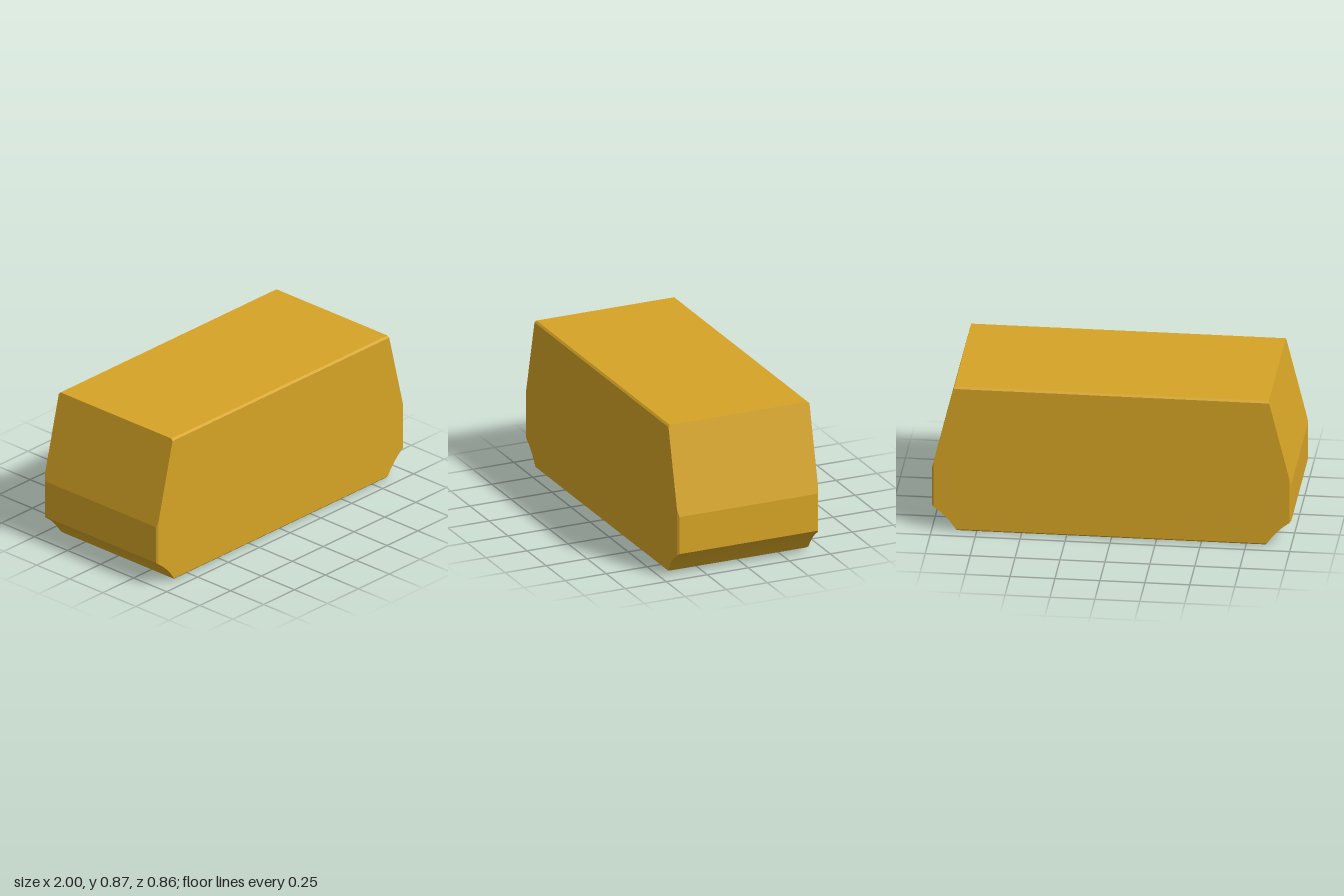
import * as THREE from 'three';

const HOLE_X = 0.46, HOLE_R = 0.1, HOLE_DEPTH = 0.5;

// Right half of a profile from bottom to top, mirrored into a closed counter-clockwise loop
function profile(bottom, bend, sideLow, sideHigh, top) {
  const v = (p) => new THREE.Vector2(...p);
  const curve = new THREE.QuadraticBezierCurve(v(bottom), v(bend), v(sideLow));
  const half = [...curve.getPoints(4), v(sideHigh), v(top)];
  const mirrored = half.map((p) => new THREE.Vector2(-p.x, p.y)).reverse();
  return [...half, ...mirrored];
}

// Flat-shaded skin between cross-sections running from back to front
function loft(sections, skip) {
  const pos = [];
  for (let s = 0; s < sections.length - 1; s++) {
    const { loop: A, z: z0 } = sections[s], { loop: B, z: z1 } = sections[s + 1];
    for (let i = 0; i < A.length; i++) {
      if (skip(s, i, A.length)) continue;
      const j = (i + 1) % A.length;
      const a = [A[i].x, A[i].y, z0], b = [A[j].x, A[j].y, z0];
      const c = [B[j].x, B[j].y, z1], d = [B[i].x, B[i].y, z1];
      pos.push(...a, ...b, ...c, ...a, ...c, ...d);
    }
  }
  const g = new THREE.BufferGeometry();
  g.setAttribute('position', new THREE.Float32BufferAttribute(pos, 3));
  g.computeVertexNormals();
  return g;
}

export function createModel() {
  const group = new THREE.Group();
  group.name = 'taperedBlock';
  const mat = new THREE.MeshStandardMaterial({ color: 0xd6a426 });
  const inner = new THREE.MeshStandardMaterial({ color: 0xd6a426, side: THREE.BackSide });
  const add = (name, geometry, material = mat) => {
    const mesh = new THREE.Mesh(geometry, material);
    mesh.name = name;
    group.add(mesh);
    return mesh;
  };

  // Body skin with thin chamfers at front and back; its underside is left open
  const full = profile([0.855, 0], [0.92, 0.095], [1, 0.15], [1, 0.37], [0.875, 0.873]);
  const inset = profile([0.865, 0.01], [0.92, 0.095], [0.99, 0.14], [0.99, 0.41], [0.878, 0.862]);
  add('body', loft([
    { loop: inset, z: -0.43 }, { loop: full, z: -0.42 },
    { loop: full, z: 0.42 }, { loop: inset, z: 0.43 },
  ], (s, i, n) => s === 1 && i === n - 1));

  // Front and back faces
  for (const side of [1, -1]) {
    const face = add(side > 0 ? 'frontFace' : 'backFace', new THREE.ShapeGeometry(new THREE.Shape(inset)));
    face.position.z = 0.43 * side;
    if (side < 0) face.rotation.y = Math.PI;
  }

  // Underside with two round openings
  const base = new THREE.Shape()
    .moveTo(-0.855, -0.42).lineTo(0.855, -0.42).lineTo(0.855, 0.42).lineTo(-0.855, 0.42).closePath();
  for (const x of [-HOLE_X, HOLE_X]) {
    base.holes.push(new THREE.Path().absarc(x, 0, HOLE_R, 0, Math.PI * 2, true));
  }
  add('underside', new THREE.ShapeGeometry(base, 24).rotateX(Math.PI / 2));

  // Blind holes
  for (const x of [-HOLE_X, HOLE_X]) {
    const wall = add('holeWall', new THREE.CylinderGeometry(HOLE_R, HOLE_R, HOLE_DEPTH, 48, 1, true), inner);
    wall.position.set(x, HOLE_DEPTH / 2, 0);
    const end = add('holeEnd', new THREE.CircleGeometry(HOLE_R, 48).rotateX(Math.PI / 2));
    end.position.set(x, HOLE_DEPTH, 0);
  }
  return group;
}
